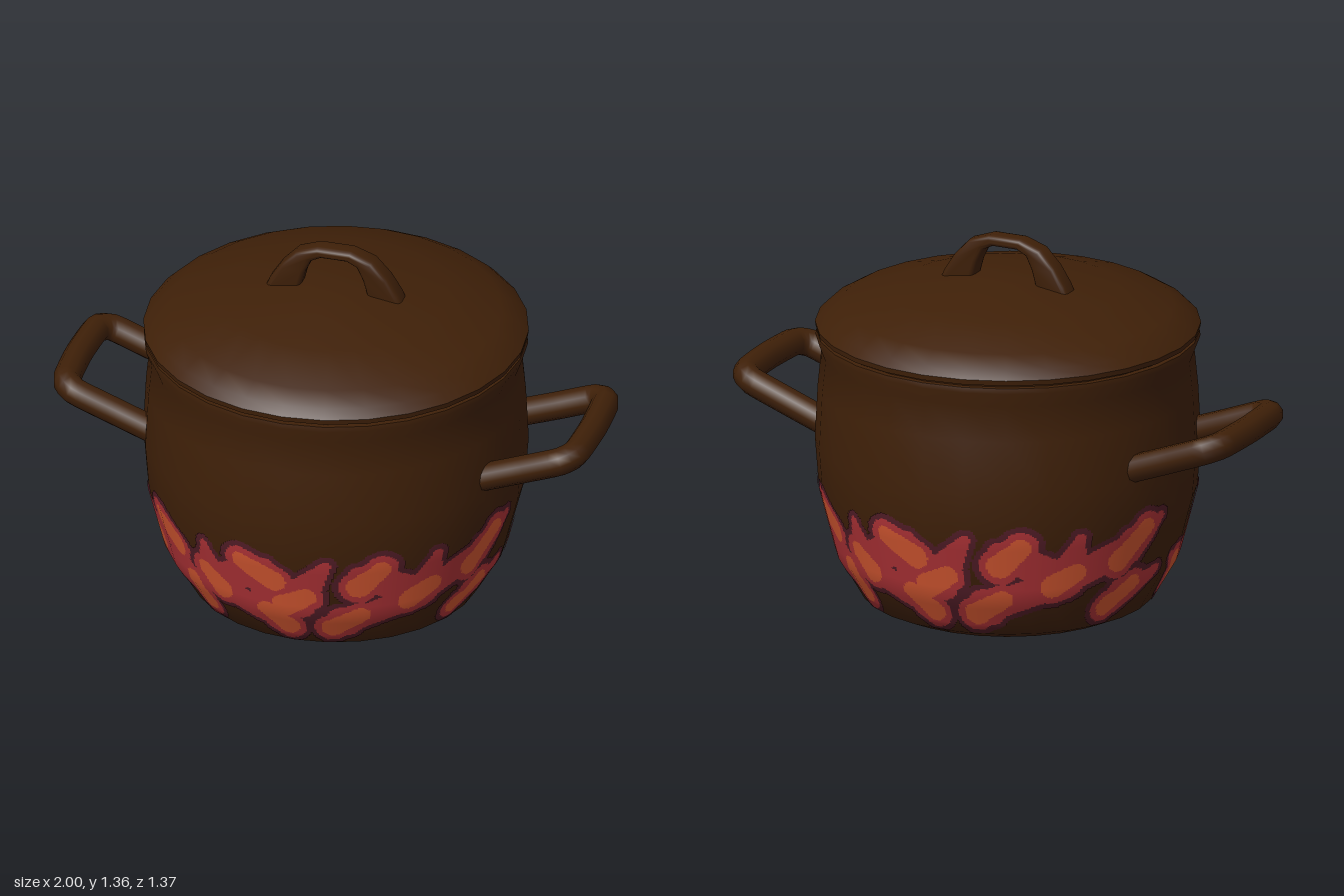
import * as THREE from 'three';
import { toCreasedNormals } from 'three/addons/utils/BufferGeometryUtils.js';

const SIDES = 28;
const material = (name, color) => {
  const m = new THREE.MeshStandardMaterial({ color });
  m.name = name;
  return m;
};
const mesh = (name, geometry, mat) => {
  const m = new THREE.Mesh(geometry, mat);
  m.name = name;
  return m;
};
const lathe = (pts) => toCreasedNormals(
  new THREE.LatheGeometry(pts.map(([r, y]) => new THREE.Vector2(r, y)), SIDES), 0.75);

// Radius and height of the pot wall, bottom to rim
const WALL = [[0.44, 0], [0.52, 0.035], [0.61, 0.19], [0.672, 0.43], [0.685, 0.6],
  [0.675, 0.8], [0.662, 0.93], [0.683, 0.985], [0.68, 1.004]];

function wallRadius(y) {
  let i = 1;
  while (i < WALL.length - 1 && WALL[i][1] < y) i++;
  const [r0, y0] = WALL[i - 1], [r1, y1] = WALL[i];
  return r0 + (r1 - r0) * (y - y0) / (y1 - y0);
}

// Flame petals: angle in degrees, height, half lean along and up the wall, tip angle, tip height
const PETALS = [
  [-77, 0.16, -0.035, 0.045, -86, 0.24], [-64, 0.27, -0.025, 0.022, -65, 0.425],
  [-48, 0.365, -0.05, 0.032, -50, 0.425], [-37, 0.165, -0.012, 0.045, -42, 0.25],
  [-27, 0.265, -0.03, 0.028, -28, 0.415], [-9, 0.37, -0.055, 0.03, -17, 0.43],
  [-4, 0.16, -0.035, 0.035, -11, 0.22], [3, 0.255, 0.04, 0.024, 13, 0.43],
  [27, 0.365, 0.035, 0.035, 33, 0.43], [20, 0.16, 0.05, 0.032, 32, 0.23],
  [45, 0.265, 0.04, 0.022, 49, 0.425], [69, 0.36, 0.05, 0.05, 80, 0.44],
  [68, 0.16, 0.045, 0.032, 84, 0.22],
];
// Neighbouring petals whose flames run together
const BRIDGES = [[0, 1], [1, 2], [1, 3], [2, 3], [4, 5], [4, 6], [5, 6], [5, 7], [6, 7],
  [8, 10], [9, 10], [10, 11]];

// Distance to a capsule whose radius goes from ra to rb
function capsule(px, py, ax, ay, bx, by, ra, rb) {
  const dx = bx - ax, dy = by - ay;
  const t = THREE.MathUtils.clamp(((px - ax) * dx + (py - ay) * dy) / (dx * dx + dy * dy), 0, 1);
  return Math.hypot(px - ax - dx * t, py - ay - dy * t) - (ra + (rb - ra) * t);
}

// 0 = ember, 1 = flame, 2 = outline, -1 = bare; the pattern repeats every half turn
const arc = (deg) => THREE.MathUtils.degToRad(deg) * 0.63;
function paintAt(a, y) {
  const along = (deg) => {
    const d = a - THREE.MathUtils.degToRad(deg);
    return (d - Math.PI * Math.round(d / Math.PI)) * 0.63;
  };
  let flame = 1, ember = 1;
  for (const [deg, cy, u, v, tipDeg, tipY] of PETALS) {
    const s = along(deg), h = y - cy;
    const petal = capsule(s, h, -u, -v, u, v, 0.048, 0.038);
    ember = Math.min(ember, petal);
    flame = Math.min(flame, petal - 0.026, capsule(s, h, 0, 0, arc(tipDeg - deg), tipY - cy, 0.082, 0.02));
  }
  for (const [i, j] of BRIDGES) {
    const [p, q] = [PETALS[i], PETALS[j]];
    flame = Math.min(flame, capsule(along(p[0]), y - p[1], 0, 0, arc(q[0] - p[0]), q[1] - p[1], 0.06, 0.06));
  }
  return ember < 0 ? 0 : flame < 0 ? 1 : flame < 0.022 ? 2 : -1;
}

// Thin painted skin that follows the faceted wall
function paintedSkins() {
  const cols = SIDES * 18, rows = 90, y0 = 0.04, y1 = 0.53, step = 2 * Math.PI / SIDES;
  const skins = [0, 1, 2].map(() => ({ pos: [], nor: [] }));
  const put = (skin, i, j) => {
    const a = i / cols * 2 * Math.PI, y = y0 + (y1 - y0) * j / rows;
    const k = (a % step) - step / 2;
    const r = wallRadius(y) * Math.cos(step / 2) / Math.cos(k) + 0.004;
    const slope = (wallRadius(y + 0.04) - wallRadius(y - 0.04)) / 0.08;
    const len = Math.hypot(1, slope);
    skin.pos.push(Math.sin(a) * r, y, Math.cos(a) * r);
    skin.nor.push(Math.sin(a) / len, -slope / len, Math.cos(a) / len);
  };
  for (let i = 0; i < cols; i++) {
    for (let j = 0; j < rows; j++) {
      const c = paintAt((i + 0.5) / cols * 2 * Math.PI, y0 + (y1 - y0) * (j + 0.5) / rows);
      if (c < 0) continue;
      for (const [p, q] of [[0, 0], [1, 0], [1, 1], [0, 0], [1, 1], [0, 1]]) put(skins[c], i + p, j + q);
    }
  }
  return skins.map(({ pos, nor }) => {
    const g = new THREE.BufferGeometry();
    g.setAttribute('position', new THREE.Float32BufferAttribute(pos, 3));
    g.setAttribute('normal', new THREE.Float32BufferAttribute(nor, 3));
    return g;
  });
}

// Squared loop handle rising outward on the +x side
function sideHandleGeometry() {
  const half = [[0.56, 0.625, 0.243], [0.75, 0.695, 0.24], [0.895, 0.75, 0.238], [0.94, 0.765, 0.19]];
  const other = half.map(([x, y, z]) => [x, y, -z]).reverse();
  const path = new THREE.CatmullRomCurve3(
    [...half, [0.95, 0.767, 0], ...other].map((p) => new THREE.Vector3(...p)), false, 'catmullrom', 0.25);
  return new THREE.TubeGeometry(path, 48, 0.05, 10);
}

// Arched grip, wide at the feet, thin on top, with rounded edges
function lidGripGeometry() {
  const outer = [[0.25, 1.16], [0.232, 1.2], [0.192, 1.262], [0.137, 1.32], [0.06, 1.347]];
  const inner = [[0.05, 1.323], [0.09, 1.303], [0.115, 1.25], [0.14, 1.16]];
  const mirror = (list) => list.map(([x, y]) => [-x, y]).reverse();
  const pts = [...outer, ...mirror(outer), ...mirror(inner), ...inner];
  const shape = new THREE.Shape(pts.map(([x, y]) => new THREE.Vector2(x, y)));
  const g = new THREE.ExtrudeGeometry(shape,
    { depth: 0.036, bevelThickness: 0.022, bevelSize: 0.016, bevelOffset: -0.008, bevelSegments: 3 });
  g.translate(0, 0, -0.018);
  return toCreasedNormals(g, 0.9);
}

export function createModel() {
  const brown = material('brown enamel', 0x3f2008);
  const paints = [material('ember orange', 0xd25630), material('flame red', 0xae3236),
    material('plum outline', 0x501c26)];
  const model = new THREE.Group();
  model.name = 'cookingPot';

  // Pot with a flat base and a rolled rim
  model.add(mesh('potBody', lathe([[0, 0], ...WALL, [0.6, 1.004]]), brown));

  // Domed lid
  model.add(mesh('lid', lathe([[0, 0.995], [0.655, 0.995], [0.66, 1.012], [0.682, 1.016],
    [0.685, 1.035], [0.655, 1.065], [0.59, 1.103], [0.4, 1.157], [0.1, 1.202], [0, 1.203]]), brown));
  model.add(mesh('lidGrip', lidGripGeometry(), brown));

  // Side handles
  const handle = sideHandleGeometry();
  ['leftHandle', 'rightHandle'].forEach((name, i) => {
    const m = mesh(name, handle, brown);
    m.rotation.y = i * Math.PI;
    model.add(m);
  });

  // Painted flames
  const names = ['flameEmbers', 'flameBodies', 'flameOutlines'];
  paintedSkins().forEach((g, i) => model.add(mesh(names[i], g, paints[i])));
  return model;
}
